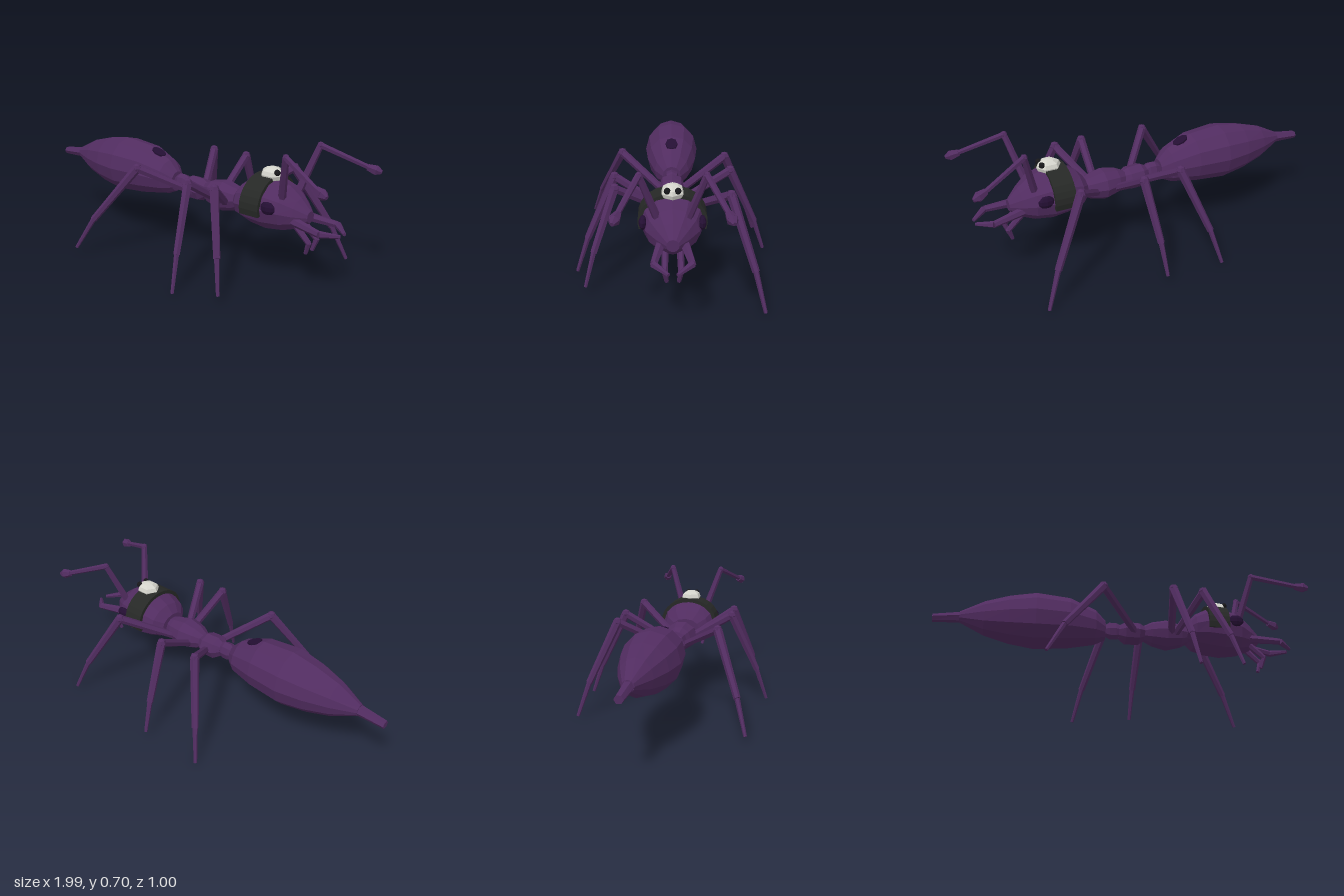
import * as THREE from 'three';

const flat = (name, color) => {
  const m = new THREE.MeshStandardMaterial({ color, flatShading: true });
  m.name = name;
  return m;
};

export function createModel() {
  const purple = flat('purple shell', 0x512c60);
  const darkPurple = flat('dark purple', 0x240f33);
  const black = flat('black strap', 0x262826);
  const white = flat('pale grey', 0xd4d4cc);
  const lens = flat('black lens', 0x17171a);
  const root = new THREE.Group();
  root.name = 'ant';

  const add = (name, geometry, material, parent = root) => {
    const mesh = new THREE.Mesh(geometry, material);
    mesh.name = name;
    parent.add(mesh);
    return mesh;
  };

  // Closed body running along x; each ring is [x, bottom y, top y, half width]
  const loft = (rings, sides = 12) => {
    const pos = [], index = [];
    const first = rings[0], last = rings[rings.length - 1];
    const tip = r => [r[0], (r[1] + r[2]) / 2, (r[1] + r[2]) / 2, 0];
    const all = [tip(first), ...rings, tip(last)];
    all.forEach(([x, lo, hi, w], i) => {
      for (let j = 0; j < sides; j++) {
        const a = (j / sides) * Math.PI * 2;
        pos.push(x, (lo + hi) / 2 + (hi - lo) / 2 * Math.sin(a), w * Math.cos(a));
        if (i === all.length - 1) continue;
        const k = (j + 1) % sides, p = i * sides, q = p + sides;
        if (i < all.length - 2) index.push(p + j, q + j, q + k);
        if (i > 0) index.push(p + j, q + k, p + k);
      }
    });
    const g = new THREE.BufferGeometry();
    g.setAttribute('position', new THREE.Float32BufferAttribute(pos, 3));
    g.setIndex(index);
    g.computeVertexNormals();
    return g;
  };

  // Tapered limb segment between two points
  const limb = (name, a, b, ra, rb, parent) => {
    const p = new THREE.Vector3(...a), q = new THREE.Vector3(...b);
    const d = q.clone().sub(p);
    const mesh = add(name, new THREE.CylinderGeometry(rb, ra, d.length(), 6), purple, parent);
    mesh.position.copy(p).add(q).multiplyScalar(0.5);
    mesh.quaternion.setFromUnitVectors(new THREE.Vector3(0, 1, 0), d.normalize());
    return mesh;
  };

  const blob = (name, p, r, material, parent, w = 8, h = 5) => {
    const mesh = add(name, new THREE.SphereGeometry(1, w, h), material, parent);
    mesh.position.set(...p);
    mesh.scale.set(...r);
    return mesh;
  };

  // Body sections from tail to head
  add('tail', loft([[-1, 0.37, 0.412, 0.023], [-0.84, 0.375, 0.435, 0.03]], 6), purple);
  add('abdomen', loft([
    [-0.86, 0.375, 0.435, 0.03], [-0.73, 0.31, 0.5, 0.085], [-0.6, 0.275, 0.537, 0.125],
    [-0.46, 0.255, 0.56, 0.15], [-0.28, 0.27, 0.543, 0.135], [-0.14, 0.295, 0.485, 0.095],
    [-0.085, 0.32, 0.43, 0.05],
  ]), purple);
  add('waist', loft([
    [-0.1, 0.35, 0.4, 0.02], [-0.06, 0.325, 0.425, 0.04], [-0.025, 0.325, 0.425, 0.04],
    [0.02, 0.345, 0.4, 0.028],
  ], 8), purple);
  add('rearThorax', loft([
    [-0.01, 0.33, 0.41, 0.04], [0.025, 0.305, 0.43, 0.07], [0.1, 0.305, 0.425, 0.07],
    [0.14, 0.335, 0.405, 0.04],
  ], 8), purple);
  add('frontThorax', loft([
    [0.12, 0.33, 0.41, 0.04], [0.17, 0.305, 0.435, 0.07], [0.25, 0.285, 0.45, 0.09],
    [0.33, 0.305, 0.43, 0.07], [0.39, 0.34, 0.41, 0.04],
  ], 10), purple);
  add('head', loft([
    [0.36, 0.335, 0.44, 0.08], [0.4, 0.3, 0.485, 0.13], [0.47, 0.28, 0.522, 0.153],
    [0.56, 0.268, 0.528, 0.153], [0.65, 0.278, 0.5, 0.125], [0.71, 0.3, 0.455, 0.08],
    [0.765, 0.34, 0.4, 0.03],
  ]), purple);

  // Dark patch on top of the abdomen
  const patch = add('abdomenPatch', new THREE.CylinderGeometry(0.045, 0.045, 0.009, 8), darkPurple);
  patch.position.set(-0.22, 0.516, 0);
  patch.rotation.z = -0.4;
  patch.scale.z = 0.75;

  // Strap over the head
  const arch = new THREE.Shape();
  const start = -0.28, end = Math.PI + 0.28;
  arch.absellipse(0, 0.4, 0.165, 0.14, start, end, false);
  arch.absellipse(0, 0.4, 0.145, 0.12, end, start, true);
  const strap = add('strap', new THREE.ExtrudeGeometry(arch,
    { depth: 0.11, bevelEnabled: false, curveSegments: 8 }), black);
  strap.rotation.y = Math.PI / 2;
  strap.position.x = 0.46;

  // Pale pod with two lenses on top of the strap
  blob('pod', [0.54, 0.54, 0], [0.065, 0.04, 0.058], white, root, 6, 6);

  // Six legs: [hip, knee, foot]
  const legs = {
    rearRightLeg: [[0.07, 0.36, 0.05], [-0.125, 0.5, 0.27], [-0.41, 0.04, 0.46]],
    middleRightLeg: [[0.27, 0.35, 0.05], [0.24, 0.5, 0.29], [0.315, 0.005, 0.49]],
    frontRightLeg: [[0.29, 0.35, 0.05], [0.4, 0.5, 0.28], [0.545, 0.04, 0.425]],
    rearLeftLeg: [[0.07, 0.36, -0.05], [-0.06, 0.5, -0.285], [-0.215, 0.005, -0.47]],
    middleLeftLeg: [[0.19, 0.35, -0.05], [0.155, 0.5, -0.3], [0.12, 0.04, -0.49]],
    frontLeftLeg: [[0.3, 0.35, -0.05], [0.485, 0.5, -0.28], [0.735, 0.005, -0.435]],
  };
  for (const [name, [hip, knee, foot]] of Object.entries(legs)) {
    const leg = new THREE.Group();
    leg.name = name;
    root.add(leg);
    const ankle = knee.map((v, i) => v + (foot[i] - v) * (i === 1 ? 0.64 : 0.71));
    limb('thigh', hip, knee, 0.02, 0.022, leg);
    blob('knee', knee, [0.026, 0.026, 0.026], purple, leg, 6, 4);
    limb('shin', knee, ankle, 0.024, 0.018, leg);
    limb('foot', ankle, foot, 0.014, 0.009, leg);
  }

  // Paired head parts
  for (const s of [1, -1]) {
    const side = new THREE.Group();
    side.name = s > 0 ? 'rightHeadParts' : 'leftHeadParts';
    root.add(side);
    blob('eye', [0.61, 0.415, s * 0.138], [0.043, 0.033, 0.02], darkPurple, side);
    blob('podLens', [0.583, 0.56, s * 0.025], [0.016, 0.016, 0.016], lens, side, 8, 6);

    const elbow = [0.71, 0.685, s * 0.15], tip = [0.94, 0.594, s * 0.236];
    limb('antennaBase', [0.645, 0.45, s * 0.07], elbow, 0.02, 0.016, side);
    blob('antennaElbow', elbow, [0.018, 0.018, 0.018], purple, side, 6, 4);
    limb('antennaStalk', elbow, tip, 0.016, 0.013, side);
    const club = limb('antennaClub', [0.925, 0.598, s * 0.23], [0.965, 0.587, s * 0.243], 0.018, 0.027, side);
    club.name = 'antennaClub';
    limb('antennaTip', [0.965, 0.587, s * 0.243], [0.99, 0.58, s * 0.25], 0.027, 0.01, side);

    // Jaws and mouth feelers
    const bend = [0.865, 0.332, s * 0.085];
    limb('jawBase', [0.7, 0.35, s * 0.055], bend, 0.024, 0.017, side);
    limb('jawTip', bend, [0.94, 0.32, s * 0.02], 0.018, 0.009, side);
    limb('feelerBase', [0.71, 0.32, s * 0.035], [0.785, 0.25, s * 0.037], 0.017, 0.014, side);
    limb('feelerTip', [0.785, 0.255, s * 0.037], [0.765, 0.192, s * 0.028], 0.014, 0.01, side);
  }
  return root;
}
